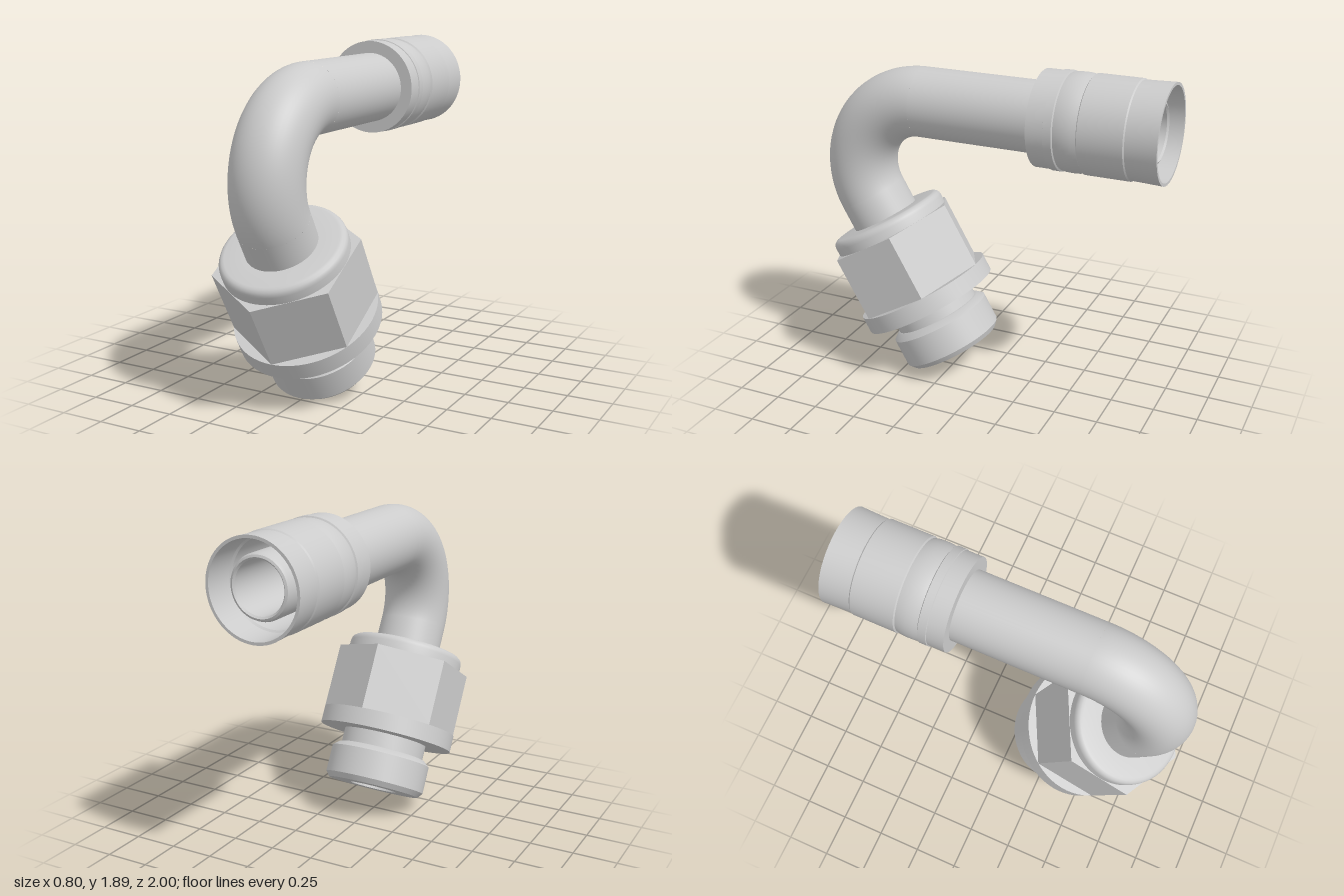
import * as THREE from 'three';
import { toCreasedNormals } from 'three/addons/utils/BufferGeometryUtils.js';

const material = new THREE.MeshStandardMaterial({ color: 0xcccccc });
const innerMaterial = new THREE.MeshStandardMaterial({ color: 0xcccccc, side: THREE.BackSide });

const TUBE_R = 0.195, BORE_R = 0.14;
const BEND_R = 0.395, BEND_Y = 1.23, BEND_Z = 0.41;
const AXIS_Y = BEND_Y + BEND_R;

// Turned part: profile of [radius, distance along the axis]
function turned(name, profile) {
  const points = profile.map(([r, t]) => new THREE.Vector2(r, t));
  const mesh = new THREE.Mesh(toCreasedNormals(new THREE.LatheGeometry(points, 64), 0.5), material);
  mesh.name = name;
  return mesh;
}

// 120 degree bend in the yz plane
function bend(name, radius, mat) {
  const geometry = new THREE.TorusGeometry(BEND_R, radius, 48, 64, Math.PI * 2 / 3);
  geometry.rotateZ(-Math.PI / 6).rotateY(-Math.PI / 2).translate(0, BEND_Y, BEND_Z);
  const mesh = new THREE.Mesh(geometry, mat);
  mesh.name = name;
  return mesh;
}

export function createModel() {
  const model = new THREE.Group();
  model.name = 'angledHoseFitting';

  model.add(bend('tubeBend', TUBE_R, material), bend('boreBend', BORE_R, innerMaterial));

  // Hose end: local y runs towards the back
  const hoseEnd = new THREE.Group();
  hoseEnd.name = 'hoseEnd';
  hoseEnd.position.y = AXIS_Y;
  hoseEnd.rotation.x = -Math.PI / 2;
  hoseEnd.add(turned('straightTube', [
    [TUBE_R, -BEND_Z], [TUBE_R, 0.5], [0.17, 0.52], [0.17, 0.92], [0.162, 0.94],
    [0.15, 0.945], [BORE_R, 0.935], [BORE_R, -BEND_Z],
  ]));
  hoseEnd.add(turned('crimpSleeve', [
    [0.19, 0.305], [0.262, 0.305], [0.262, 0.4], [0.267, 0.402], [0.267, 0.447], [0.259, 0.452],
    [0.264, 0.475], [0.266, 0.515], [0.264, 0.55], [0.258, 0.577], [0.266, 0.583],
    [0.266, 0.825], [0.26, 0.832], [0.262, 0.9], [0.266, 1], [0.25, 1],
    [0.245, 0.83], [0.235, 0.82], [0.235, 0.45], [0.19, 0.45],
  ]));
  model.add(hoseEnd);

  // Threaded end: local y runs down the inclined axis
  const threadedEnd = new THREE.Group();
  threadedEnd.name = 'threadedEnd';
  threadedEnd.position.set(0, BEND_Y - BEND_R / 2, BEND_Z + BEND_R * Math.cos(Math.PI / 6));
  threadedEnd.rotation.x = Math.PI * 7 / 6;
  threadedEnd.add(turned('collarAndSpigot', [
    [TUBE_R, 0], [TUBE_R, 0.15], [0.308, 0.15], [0.323, 0.153], [0.336, 0.163],
    [0.343, 0.176], [0.345, 0.19], [0.345, 0.3], [0.3, 0.62],
    [0.4, 0.62], [0.4, 0.72], [0.25, 0.72], [0.25, 0.805], [0.262, 0.808],
    [0.298, 0.838], [0.298, 1], [0.273, 1.03], [BORE_R, 1.03], [BORE_R, 0],
  ]));

  // Hexagon with a corner facing the front
  const hexShape = new THREE.Shape();
  for (let i = 0; i < 6; i++) {
    const a = i * Math.PI / 3;
    hexShape[i ? 'lineTo' : 'moveTo'](0.4 * Math.sin(a), 0.4 * Math.cos(a));
  }
  hexShape.holes.push(new THREE.Path().absarc(0, 0, 0.25, 0, Math.PI * 2, true));
  const hexGeometry = new THREE.ExtrudeGeometry(hexShape, { depth: 0.385, bevelEnabled: false, curveSegments: 24 });
  hexGeometry.rotateX(-Math.PI / 2).translate(0, 0.235, 0);
  const hex = new THREE.Mesh(hexGeometry, material);
  hex.name = 'hexNut';
  threadedEnd.add(hex);
  model.add(threadedEnd);

  return model;
}
